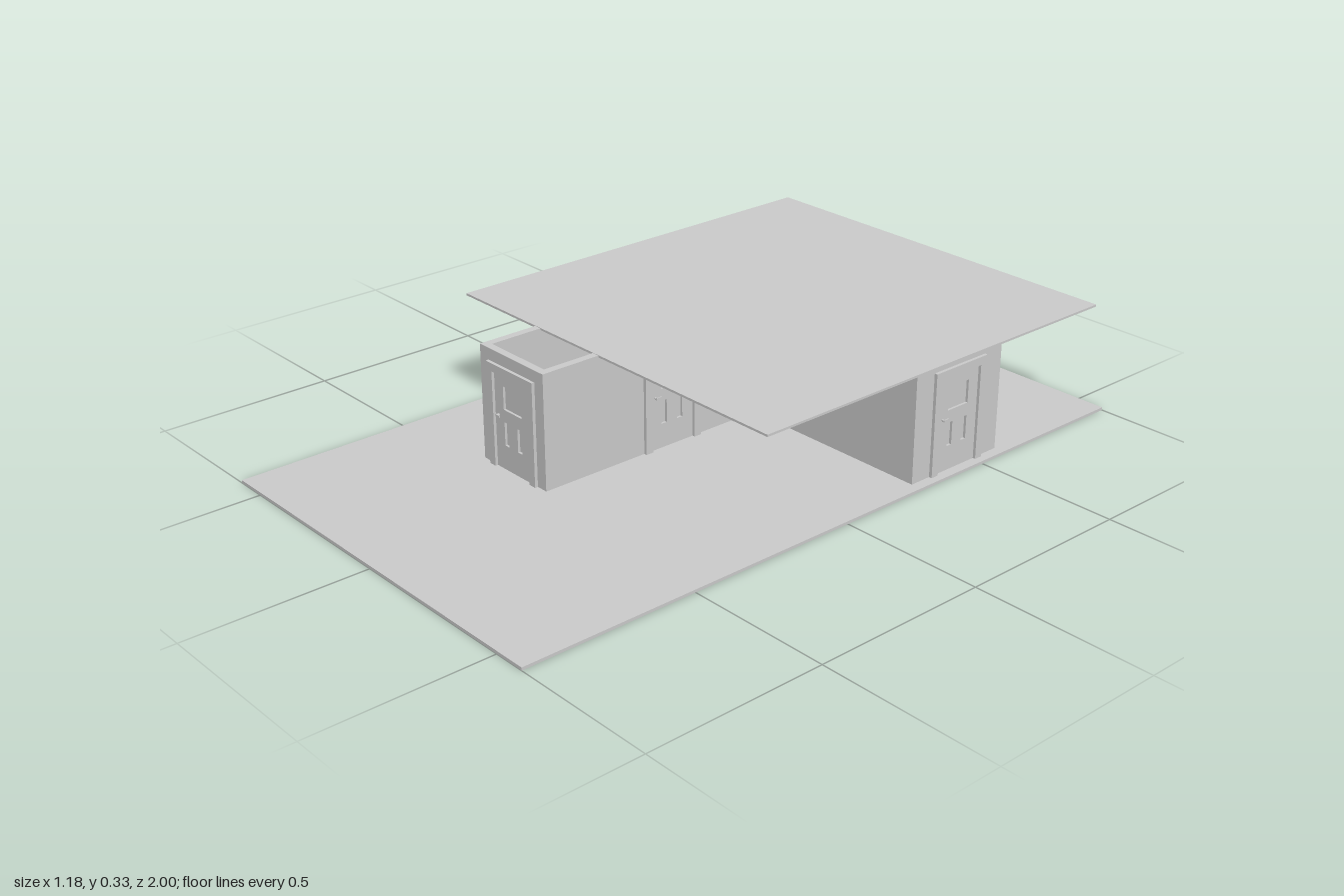
import * as THREE from 'three';

const BASE = 0.008;   // top of the ground slab
const TOP = 0.326;    // underside of the roof
const T = 0.022;      // wall thickness
const DOOR_W = 0.145, DOOR_TOP = 0.275, FRAME = 0.023;

const material = new THREE.MeshStandardMaterial({ color: 0xcccccc, flatShading: true });

function add(parent, name, geometry, x = 0, y = 0, z = 0) {
  const mesh = new THREE.Mesh(geometry, material);
  mesh.name = name;
  mesh.position.set(x, y, z);
  parent.add(mesh);
  return mesh;
}

function box(parent, name, x1, x2, y1, y2, z1, z2) {
  return add(parent, name, new THREE.BoxGeometry(x2 - x1, y2 - y1, z2 - z1),
    (x1 + x2) / 2, (y1 + y2) / 2, (z1 + z2) / 2);
}

function rect(Type, x1, x2, y1, y2) {
  return new Type([[x1, y1], [x2, y1], [x2, y2], [x1, y2]].map(p => new THREE.Vector2(...p)));
}

function extrude(shape, depth) {
  return new THREE.ExtrudeGeometry(shape, { depth, bevelEnabled: false });
}

// Door centred on local x = 0; the wall's outer face is local z = 0
function makeDoor(handleSide) {
  const door = new THREE.Group();
  door.name = 'door';
  const h = DOOR_W / 2;

  // frame: two posts and a lintel around the leaf
  const o = h + FRAME;
  const frame = new THREE.Shape([
    [-o, BASE], [-h, BASE], [-h, DOOR_TOP], [h, DOOR_TOP],
    [h, BASE], [o, BASE], [o, DOOR_TOP + FRAME], [-o, DOOR_TOP + FRAME],
  ].map(p => new THREE.Vector2(...p)));
  add(door, 'doorFrame', extrude(frame, 0.009), 0, 0, 0);

  // leaf with one square and two narrow sunken panels
  const leaf = rect(THREE.Shape, -h, h, BASE, DOOR_TOP);
  leaf.holes.push(
    rect(THREE.Path, -0.037, 0.037, 0.178, 0.243),
    rect(THREE.Path, -0.036, -0.018, 0.077, 0.143),
    rect(THREE.Path, 0.018, 0.036, 0.077, 0.143),
  );
  add(door, 'doorLeaf', extrude(leaf, T + 0.004), 0, 0, -T - 0.003);
  box(door, 'doorPanels', -0.06, 0.06, 0.05, 0.26, -T + 0.005, -0.006);

  // lever handle on both faces
  for (const [z, dir] of [[0.001, 1], [-T - 0.003, -1]]) {
    const stem = add(door, 'handleStem', new THREE.CylinderGeometry(0.003, 0.003, 0.009, 8),
      handleSide * 0.058, 0.158, z + dir * 0.0045);
    stem.rotation.x = Math.PI / 2;
    add(door, 'handleLever', new THREE.BoxGeometry(0.017, 0.006, 0.003),
      handleSide * 0.052, 0.158, z + dir * 0.009);
  }
  return door;
}

// Wall whose outer face runs from (x1, z1) to (x2, z2), left to right seen from outside
function wall(parent, name, x1, z1, x2, z2, { top = TOP, door } = {}) {
  const group = new THREE.Group();
  group.name = name;
  group.position.set(x1, 0, z1);
  group.rotation.y = Math.atan2(z1 - z2, x2 - x1);
  const length = Math.hypot(x2 - x1, z2 - z1);
  const shape = rect(THREE.Shape, 0, length, BASE, top);
  if (door) {
    const h = DOOR_W / 2;
    shape.holes.push(rect(THREE.Path, door.at - h, door.at + h, BASE + 0.0005, DOOR_TOP));
    const leaf = makeDoor(door.handle);
    leaf.position.x = door.at;
    group.add(leaf);
  }
  add(group, name + 'Panel', extrude(shape, T), 0, 0, -T);
  parent.add(group);
}

export function createModel() {
  const model = new THREE.Group();
  model.name = 'house';

  box(model, 'ground', -0.59, 0.59, 0, BASE, -1, 1);
  box(model, 'roof', -0.59, 0.59, TOP, 0.332, -0.93, 0.28);

  // Entrance hall, open to the sky in front of the roof
  const hall = new THREE.Group();
  hall.name = 'hall';
  model.add(hall);
  const hallTop = { top: 0.331 };
  wall(hall, 'hallFrontWall', -0.285, 0.457, -0.025, 0.457, { ...hallTop, door: { at: 0.13, handle: -1 } });
  wall(hall, 'hallRightWall', -0.025, 0.457, -0.025, -0.62, { ...hallTop, door: { at: 0.42, handle: -1 } });
  wall(hall, 'hallLeftWall', -0.285, -0.62, -0.285, 0.457, hallTop);

  // Side room
  const side = new THREE.Group();
  side.name = 'sideRoom';
  model.add(side);
  wall(side, 'sideFrontWall', -0.025, -0.262, 0.56, -0.262);
  wall(side, 'sideEndWall', 0.56, -0.262, 0.56, -0.582, { door: { at: 0.16, handle: -1 } });
  wall(side, 'sideBackWall', 0.56, -0.582, -0.025, -0.582);

  // Back room
  const back = new THREE.Group();
  back.name = 'backRoom';
  model.add(back);
  wall(back, 'backRoomFrontWall', -0.52, -0.618, 0.13, -0.618, { door: { at: 0.13, handle: 1 } });
  wall(back, 'backRoomRightWall', 0.13, -0.57, 0.13, -0.878);
  wall(back, 'backRoomRearWall', 0.13, -0.878, -0.52, -0.878);
  wall(back, 'backRoomLeftWall', -0.52, -0.878, -0.52, -0.618);

  return model;
}
